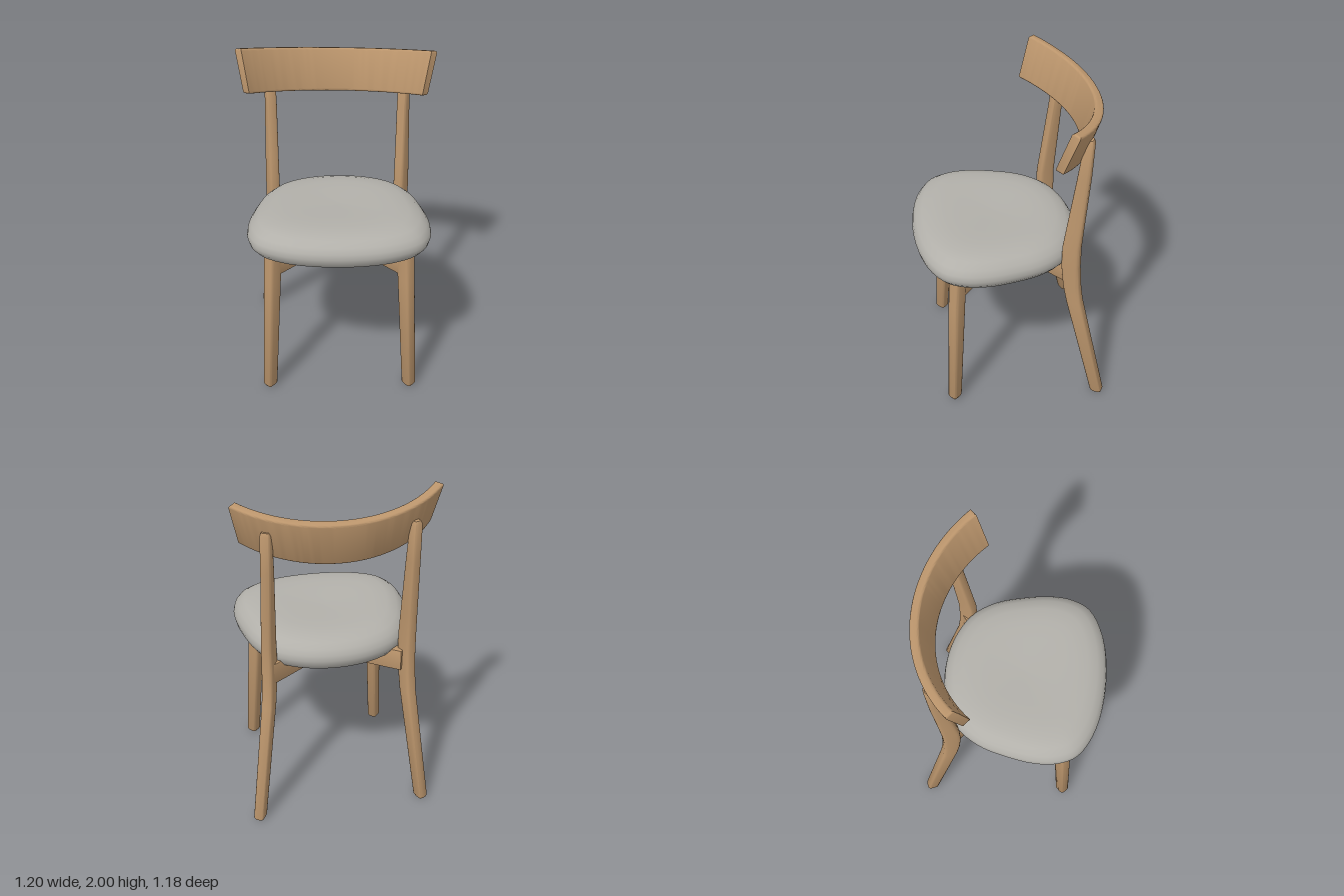
import * as THREE from 'three';
import { toCreasedNormals } from 'three/addons/utils/BufferGeometryUtils.js';

const wood = new THREE.MeshStandardMaterial({ color: 0xbb956c });
wood.name = 'wood';
const fabric = new THREE.MeshStandardMaterial({ color: 0xb2b0aa });
fabric.name = 'grey fabric';

// Skin over a stack of closed rings, each running counterclockwise seen from above
function loft(rings) {
  const n = rings[0].length, pos = [], index = [];
  rings.forEach(r => r.forEach(p => pos.push(p.x, p.y, p.z)));
  for (let j = 0; j < rings.length - 1; j++) {
    for (let i = 0; i < n; i++) {
      const a = j * n + i, b = j * n + (i + 1) % n;
      index.push(a, b, b + n, a, b + n, a + n);
    }
  }
  const cap = (j, up) => {
    const c = new THREE.Vector3();
    rings[j].forEach(p => c.addScaledVector(p, 1 / n));
    const k = pos.length / 3;
    pos.push(c.x, c.y, c.z);
    for (let i = 0; i < n; i++) {
      const a = j * n + i, b = j * n + (i + 1) % n;
      if (up) index.push(k, a, b); else index.push(k, b, a);
    }
  };
  cap(0, false);
  cap(rings.length - 1, true);
  const g = new THREE.BufferGeometry();
  g.setAttribute('position', new THREE.Float32BufferAttribute(pos, 3));
  g.setIndex(index);
  g.computeVertexNormals();
  return g;
}

function add(parent, name, geometry, material) {
  const m = new THREE.Mesh(geometry, material);
  m.name = name;
  parent.add(m);
  return m;
}

// Leg: stations are [x, y, z, half width, half depth]; depth points outward at `angle`
function leg(stations, angle, side) {
  const sn = Math.sin(angle), cs = Math.cos(angle), n = 24;
  const soft = v => Math.sign(v) * Math.pow(Math.abs(v), 0.5);
  const rings = stations.map(([x, y, z, w, d]) => Array.from({ length: n }, (_, i) => {
    const t = i / n * Math.PI * 2;
    const a = soft(Math.cos(t)) * w, b = soft(Math.sin(t)) * d;
    return new THREE.Vector3(side * x + a * cs + b * side * sn, y, z + a * side * sn - b * cs);
  }));
  return toCreasedNormals(loft(rings), 0.7);
}

const BACK_LEG = [
  [0.52, 0, -0.505, 0.027, 0.03], [0.518, 0.014, -0.502, 0.034, 0.038],
  [0.42, 0.72, -0.345, 0.036, 0.048], [0.41, 0.84, -0.327, 0.036, 0.052],
  [0.405, 0.98, -0.316, 0.036, 0.055], [0.405, 1.12, -0.316, 0.035, 0.054],
  [0.405, 1.26, -0.33, 0.034, 0.049], [0.405, 1.6, -0.365, 0.032, 0.038],
  [0.408, 1.825, -0.382, 0.03, 0.028], [0.408, 1.845, -0.382, 0.022, 0.02],
];
// The right back leg stands steeper sideways than the left one
const RIGHT_BACK_LEG = BACK_LEG.map(([x, y, ...rest]) =>
  [x - 0.008 + 0.03 * Math.min(1, y / 0.8) - 0.01 * Math.max(0, y - 1.1), y, ...rest]);
const FRONT_LEG = [
  [0.44, 0.005, 0.415, 0.026, 0.028], [0.439, 0.02, 0.414, 0.034, 0.037],
  [0.4, 0.78, 0.37, 0.038, 0.046], [0.39, 0.97, 0.355, 0.04, 0.05],
];

// Cross-shaped frame under the seat, with curved crotches between the arms
function frameGeometry() {
  const s = new THREE.Shape(), w = 0.027;
  // shape y is -z, so the back is up
  const tips = [[0.4, 0.32], [-0.4, 0.32], [-0.385, -0.355], [0.385, -0.355]];
  const inner = [[0, 0.045], [-0.045, 0], [0, -0.045], [0.045, 0]];
  tips.forEach(([x, y], i) => {
    const l = Math.hypot(x, y), nx = -y / l * w, ny = x / l * w;
    if (i === 0) s.moveTo(x - nx, y - ny);
    s.lineTo(x + nx, y + ny);
    const [u, v] = tips[(i + 1) % 4], m = Math.hypot(u, v);
    const ex = v / m * w, ey = -u / m * w;
    s.lineTo(x * 0.5 + nx, y * 0.5 + ny);
    s.quadraticCurveTo(inner[i][0], inner[i][1], u * 0.5 + ex, v * 0.5 + ey);
    s.lineTo(u + ex, v + ey);
  });
  const g = new THREE.ExtrudeGeometry(s, {
    depth: 0.12, curveSegments: 12, bevelThickness: 0.007, bevelSize: 0.007, bevelSegments: 2,
  });
  g.rotateX(-Math.PI / 2);
  // underside rises towards the back
  const p = g.attributes.position;
  for (let i = 0; i < p.count; i++) p.setY(i, p.getY(i) + 0.845 - 0.07 * p.getZ(i));
  return toCreasedNormals(g, 0.6);
}

// Rounded cushion from scaled copies of one outline
function seatRings(profile) {
  const half = [[0, 0.59], [0.3, 0.55], [0.475, 0.455], [0.534, 0.34], [0.547, 0.2],
    [0.52, 0.02], [0.468, -0.15], [0.368, -0.29], [0.2, -0.38], [0, -0.41]];
  const all = half.concat(half.slice(1, -1).reverse().map(([x, z]) => [-x, z]));
  const curve = new THREE.CatmullRomCurve3(all.map(([x, z]) => new THREE.Vector3(x, 0, z)), true);
  const outline = curve.getPoints(72).slice(0, 72);
  return profile.map(([s, y]) => outline.map(p => {
    const x = p.x * s, z = (p.z - 0.08) * s + 0.08;
    const saddle = y > 1.1 ? 0.03 * x * x : 0;
    return new THREE.Vector3(x, y + 0.035 * (z - 0.1) + saddle, z);
  }));
}

// Bent board, leaning back and narrower along its lower edge
function backrestGeometry() {
  const R = 0.774, t = 0.014, h = 0.83, H = 0.238, q = Math.PI / 2;
  const s = new THREE.Shape();
  s.absarc(0, -R, R + t, q - h, q + h, false);
  s.absarc(0, -R, R - t, q + h, q - h, true);
  s.closePath();
  const g = new THREE.ExtrudeGeometry(s, {
    depth: H, curveSegments: 32, bevelThickness: 0.013, bevelSize: 0.013, bevelSegments: 3,
  });
  g.rotateX(-q);
  const p = g.attributes.position;
  for (let i = 0; i < p.count; i++) {
    p.setX(i, p.getX(i) * (1 - 0.075 * (1 - p.getY(i) / H)));
  }
  g.rotateX(-0.275);
  return toCreasedNormals(g, 0.6);
}

export function createModel() {
  const model = new THREE.Group();
  model.name = 'chair';

  // Legs, frame and seat stand slightly turned
  const base = new THREE.Group();
  base.name = 'base';
  base.position.x = -0.018;
  base.rotation.y = -0.1;
  model.add(base);

  add(base, 'leftBackLeg', leg(BACK_LEG, 0.52, 1), wood);
  add(base, 'rightBackLeg', leg(RIGHT_BACK_LEG, 0.4, -1), wood);
  add(base, 'leftFrontLeg', leg(FRONT_LEG, 2.4, 1), wood);
  add(base, 'rightFrontLeg', leg(FRONT_LEG, 2.4, -1), wood);
  add(base, 'crossFrame', frameGeometry(), wood);

  add(base, 'seatCushion', loft(seatRings([
    [0.03, 0.934], [0.4, 0.934], [0.72, 0.937], [0.86, 0.947], [0.94, 0.968], [0.985, 1],
    [1, 1.032], [0.987, 1.064], [0.947, 1.095], [0.875, 1.12], [0.76, 1.138],
    [0.6, 1.145], [0.4, 1.143], [0.2, 1.139], [0.03, 1.137],
  ])), fabric);

  // Backrest
  const backrest = add(model, 'backrest', backrestGeometry(), wood);
  backrest.position.set(0.003, 1.675, -0.435);
  backrest.rotation.set(0, -0.076, -0.024);
  return model;
}
